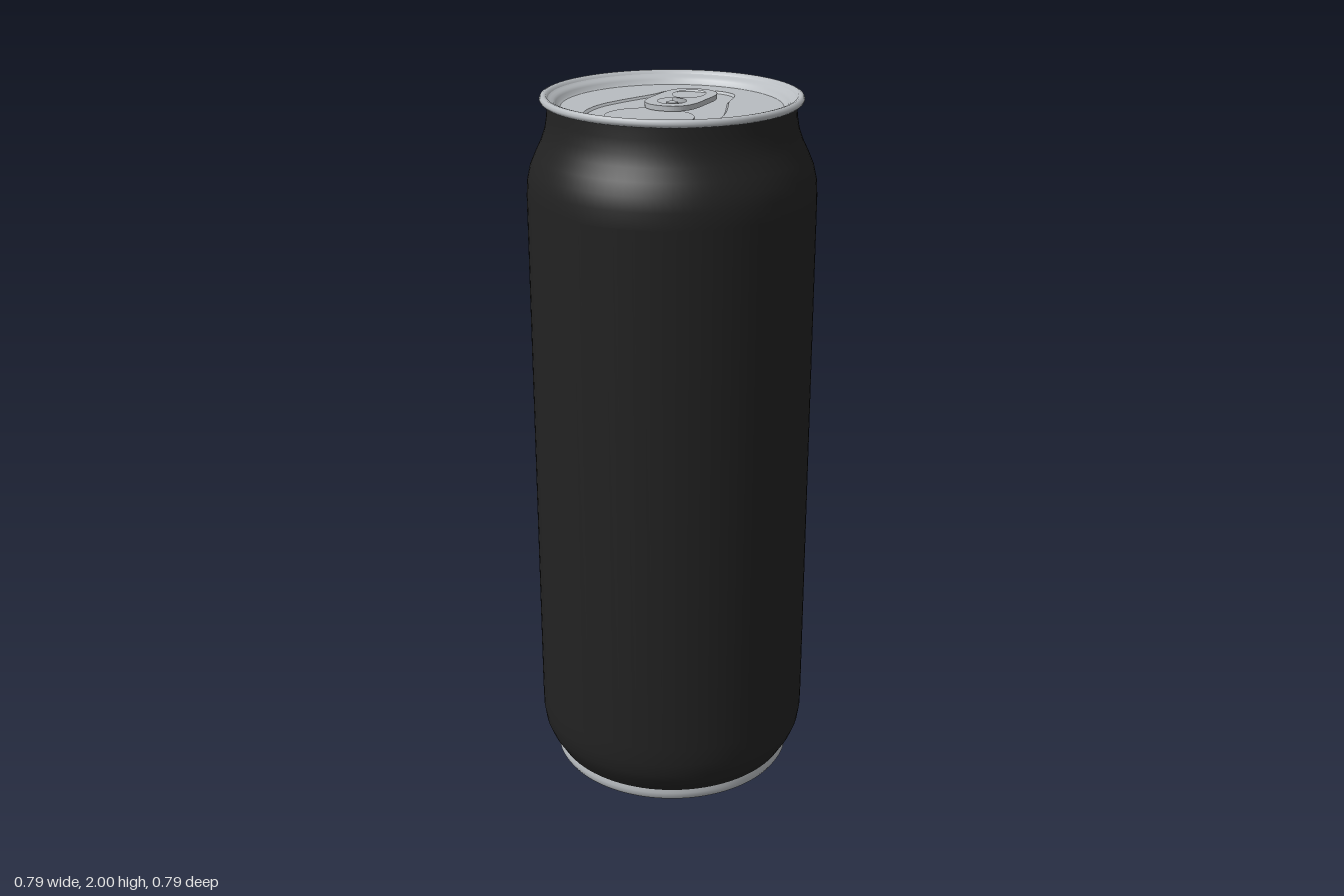
import * as THREE from 'three';

const black = new THREE.MeshStandardMaterial({ color: 0x222222 });
black.name = 'black paint';
const silver = new THREE.MeshStandardMaterial({ color: 0xb8bcc0 });
silver.name = 'bare metal';

const LID_Y = 1.966, FLOOR_Y = 1.96;
const v2 = (p) => new THREE.Vector2(p[0], p[1]);

// Symmetric closed outline from its right half, given as [x, z] from back to front
function outline(half, divisions = 96) {
  const left = half.slice(1, -1).reverse().map(([x, z]) => [-x, z]);
  const pts = [...half, ...left].map(([x, z]) => new THREE.Vector3(x, 0, z));
  const curve = new THREE.CatmullRomCurve3(pts, true, 'centripetal');
  return curve.getPoints(divisions).slice(0, -1).map((p) => [p.x, p.z]);
}

function ellipse(rx, rz, cz, n = 48) {
  return Array.from({ length: n }, (_, i) => {
    const a = (i / n) * Math.PI * 2;
    return [rx * Math.cos(a), cz + rz * Math.sin(a)];
  });
}

// Shapes are drawn with y = -z so that they lie flat facing up
const toPoints = (pts) => pts.map(([x, z]) => new THREE.Vector2(x, -z));
function flatShape(pts, holes = []) {
  const shape = new THREE.Shape(toPoints(pts));
  holes.forEach((h) => shape.holes.push(new THREE.Path(toPoints(h))));
  return shape;
}

export function createModel() {
  const can = new THREE.Group();
  can.name = 'can';

  function add(name, geometry, material, y = 0) {
    const mesh = new THREE.Mesh(geometry, material);
    mesh.name = name;
    mesh.position.y = y;
    can.add(mesh);
    return mesh;
  }
  const lathe = (name, profile, material) =>
    add(name, new THREE.LatheGeometry(profile.map(v2), 96), material);
  const sheet = (name, shape, y) =>
    add(name, new THREE.ShapeGeometry(shape).rotateX(-Math.PI / 2), silver, y);
  const plate = (name, shape, depth, y, bevel = 0) =>
    add(name, new THREE.ExtrudeGeometry(shape, {
      depth: depth - 2 * bevel, bevelEnabled: bevel > 0, bevelSize: bevel,
      bevelThickness: bevel, bevelOffset: -bevel, bevelSegments: 2,
    }).rotateX(-Math.PI / 2), silver, y + bevel);

  // Painted wall with curved shoulder and foot
  lathe('body', [
    [0.35, 0.038], [0.36, 0.055], [0.375, 0.08], [0.387, 0.11], [0.393, 0.15],
    [0.394, 0.2], [0.394, 1.73], [0.391, 1.775], [0.383, 1.81], [0.368, 1.845],
    [0.352, 1.878], [0.341, 1.91], [0.335, 1.945], [0.333, 1.985],
  ], black);

  // Bare base band, standing ring and domed underside
  lathe('baseDome', [
    [0.19, 0.053], [0.23, 0.048], [0.27, 0.039], [0.305, 0.024],
    [0.322, 0.009], [0.332, 0.001], [0.338, 0], [0.345, 0.005], [0.351, 0.015],
    [0.352, 0.027], [0.35, 0.039],
  ], silver);
  add('baseDisc', new THREE.CircleGeometry(0.191, 64).rotateX(Math.PI / 2), black, 0.053);

  // Rolled rim and the wall down to the lid panel
  lathe('rim', [
    [0.332, 1.98], [0.346, 1.979], [0.351, 1.984], [0.353, 1.99], [0.35, 1.997],
    [0.343, 2], [0.335, 1.998], [0.33, 1.991],
  ], silver);
  lathe('lidWall', [
    [0.33, 1.991], [0.324, 1.987], [0.316, 1.984], [0.31, 1.978],
    [0.305, 1.97], [0.298, LID_Y],
  ], silver);

  // Lid panel with a shallow tapered recess
  const outer = outline([
    [0, -0.234], [0.05, -0.232], [0.086, -0.212], [0.103, -0.175], [0.112, -0.125],
    [0.135, -0.065], [0.16, 0], [0.177, 0.06], [0.181, 0.115], [0.17, 0.18],
    [0.135, 0.235], [0.09, 0.258], [0.045, 0.264], [0, 0.264],
  ]);
  const inner = outer.map(([x, z]) => [x * 0.965, 0.015 + (z - 0.015) * 0.975]);
  sheet('lidPanel', flatShape(ellipse(0.299, 0.299, 0, 96), [outer]), LID_Y);
  sheet('recessFloor', flatShape(inner), FLOOR_Y);

  const n = outer.length;
  const positions = [], index = [];
  outer.forEach(([x, z], i) => {
    positions.push(x, LID_Y, z, inner[i][0], FLOOR_Y, inner[i][1]);
    const a = 2 * i, b = 2 * ((i + 1) % n);
    index.push(a, a + 1, b, b, a + 1, b + 1);
  });
  const step = new THREE.BufferGeometry();
  step.setAttribute('position', new THREE.Float32BufferAttribute(positions, 3));
  step.setIndex(index);
  step.computeVertexNormals();
  add('recessEdge', step, silver);

  // Mouth panel, slightly raised
  const mouth = outline([
    [0, 0.03], [0.055, 0.042], [0.09, 0.064], [0.113, 0.1], [0.12, 0.14],
    [0.112, 0.175], [0.09, 0.208], [0.06, 0.228], [0.03, 0.232], [0, 0.232],
  ]);
  plate('mouthPanel', flatShape(mouth), 0.003, FLOOR_Y);

  // Pull tab with finger hole and rivet hole
  const tab = outline([
    [0, -0.185], [0.035, -0.178], [0.062, -0.153], [0.073, -0.115], [0.074, -0.06],
    [0.073, 0], [0.063, 0.037], [0.037, 0.064], [0, 0.072],
  ]);
  const holes = [ellipse(0.043, 0.055, -0.106), ellipse(0.039, 0.039, 0)];
  plate('pullTab', flatShape(tab, holes), 0.014, FLOOR_Y + 0.005);

  // Rivet and the tongue it holds down
  const tongue = [[-0.021, 0.037], ...ellipse(0.021, 0.025, -0.002)
    .filter(([, z]) => z <= -0.002).sort((a, b) => a[0] - b[0]), [0.021, 0.037]];
  plate('tabTongue', flatShape(tongue), 0.005, FLOOR_Y + 0.004);
  const rivet = new THREE.CylinderGeometry(0.016, 0.018, 0.016, 32);
  add('rivet', rivet, silver, FLOOR_Y + 0.008);

  return can;
}
